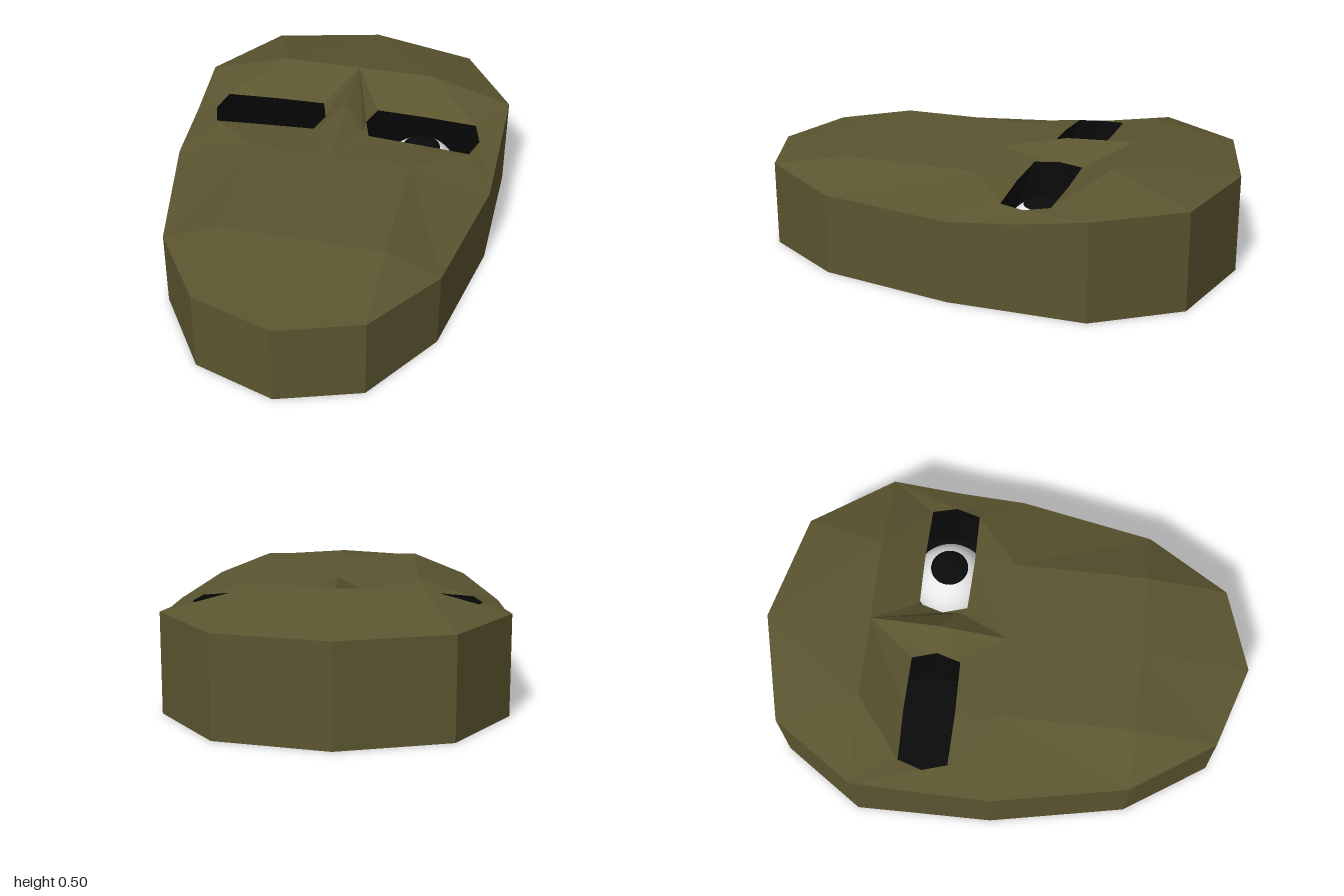
import * as THREE from 'three';

// Half of the mask; every point and face is mirrored across x = 0.
const P = {
  // outer rim, forehead to chin
  r0: [0, 0.405, -1], r1: [0.445, 0.405, -0.89], r2: [0.67, 0.405, -0.56], r3: [0.667, 0.36, -0.28],
  r4: [0.665, 0.333, 0], r5: [0.555, 0.333, 0.555], r6: [0.335, 0.355, 0.89], r7: [0, 0.355, 1],
  // brow, cheek and chin plane
  b0: [0, 0.5, -0.56], b1: [0.333, 0.5, -0.56],
  c0: [0, 0.423, 0], c1: [0.333, 0.423, 0], d0: [0, 0.423, 0.555], d1: [0.333, 0.423, 0.555],
  // nose ridge and nose side
  n: [0, 0.487, -0.28], s: [0.09, 0.418, -0.2],
  // eye opening
  h0: [0.12, 0.41, -0.38], ht: [0.333, 0.402, -0.385], h1: [0.55, 0.395, -0.38], h2: [0.58, 0.385, -0.28],
  h3: [0.55, 0.388, -0.18], hb: [0.333, 0.405, -0.175], h4: [0.12, 0.413, -0.18], h5: [0.09, 0.412, -0.28],
};
const RIM = ['r0', 'r1', 'r2', 'r3', 'r4', 'r5', 'r6', 'r7'];
const EYE = ['h0', 'ht', 'h1', 'h2', 'h3', 'hb', 'h4', 'h5'];
const FACES = {
  forehead: 'r0 r1 b1 b0, r1 r2 b1',
  brow: 'b0 b1 ht h0, b1 r2 h1 ht',
  nose: 'b0 n s, n c0 s',
  eyeSurround: 'b0 h0 h5, b0 h5 s, s h5 h4, s h4 c0, c0 h4 hb c1, c1 hb h3, c1 h3 r4,'
    + 'r4 h3 h2, r4 h2 r3, r3 h2 r2, r2 h2 h1',
  cheeksAndChin: 'c0 c1 d1 d0, c1 r4 r5 d1, d1 r5 r6, d0 d1 r6 r7',
};

const vec = (p, side = 1) => new THREE.Vector3(p[0] * side, p[1], p[2]);

// Fans polygons into triangles, each turned towards the given direction.
function polygons(list) {
  const points = [];
  for (const { corners, facing } of list) {
    for (let i = 1; i < corners.length - 1; i++) {
      const [a, b, c] = [corners[0], corners[i], corners[i + 1]];
      const normal = b.clone().sub(a).cross(c.clone().sub(a));
      points.push(...(normal.dot(facing) < 0 ? [a, c, b] : [a, b, c]));
    }
  }
  const geometry = new THREE.BufferGeometry().setFromPoints(points);
  geometry.computeVertexNormals();
  return geometry;
}

export function createModel() {
  const olive = new THREE.MeshStandardMaterial({ color: 0x5b5530 });
  olive.name = 'olive';
  olive.flatShading = true;
  const black = new THREE.MeshStandardMaterial({ color: 0x0b0b0b, side: THREE.DoubleSide });
  black.name = 'black';
  const white = new THREE.MeshStandardMaterial({ color: 0xffffff });
  white.name = 'white';

  const model = new THREE.Group();
  model.name = 'mask';
  const add = (name, geometry, material) => {
    const mesh = new THREE.Mesh(geometry, material);
    mesh.name = name;
    model.add(mesh);
    return mesh;
  };
  const up = new THREE.Vector3(0, 1, 0);

  // Faceted face, both halves
  for (const [name, text] of Object.entries(FACES)) {
    const list = [];
    for (const side of [1, -1]) {
      for (const face of text.split(',')) {
        const corners = face.trim().split(' ').map((k) => vec(P[k], side));
        list.push({ corners, facing: up });
      }
    }
    add(name, polygons(list), olive);
  }

  // Upright side wall and flat back
  const loop = [
    ...RIM.map((k) => vec(P[k])),
    ...RIM.slice(1, -1).reverse().map((k) => vec(P[k], -1)),
  ];
  const ground = (p) => p.clone().setY(0);
  add('sideWall', polygons(loop.map((a, i) => {
    const b = loop[(i + 1) % loop.length];
    return { corners: [a, b, ground(b), ground(a)], facing: ground(a).add(ground(b)) };
  })), olive);
  add('back', polygons([{ corners: loop.map(ground), facing: up.clone().negate() }]), olive);

  // Dark eye sockets, widening below the openings
  for (const side of [1, -1]) {
    const top = EYE.map((k) => vec(P[k], side));
    const low = top.map((p) => new THREE.Vector3(
      side * (0.333 + (p.x * side - 0.333) * 1.12), 0.01, -0.28 + (p.z + 0.28) * 2.5));
    const list = top.map((a, i) => {
      const j = (i + 1) % top.length;
      const inward = new THREE.Vector3(0.333 * side - a.x, 0, -0.28 - a.z);
      return { corners: [a, top[j], low[j], low[i]], facing: inward };
    });
    list.push({ corners: low, facing: up });
    add(side > 0 ? 'leftSocket' : 'rightSocket', polygons(list), black);
  }

  // Single eyeball with its pupil, in the left socket
  const eyeball = add('eyeball', new THREE.SphereGeometry(0.162, 32, 20), white);
  const pupil = add('pupil', new THREE.SphereGeometry(0.165, 32, 6, 0, Math.PI * 2, 0, 0.5), black);
  for (const part of [eyeball, pupil]) part.position.set(0.333, 0.175, -0.285);

  return model;
}
